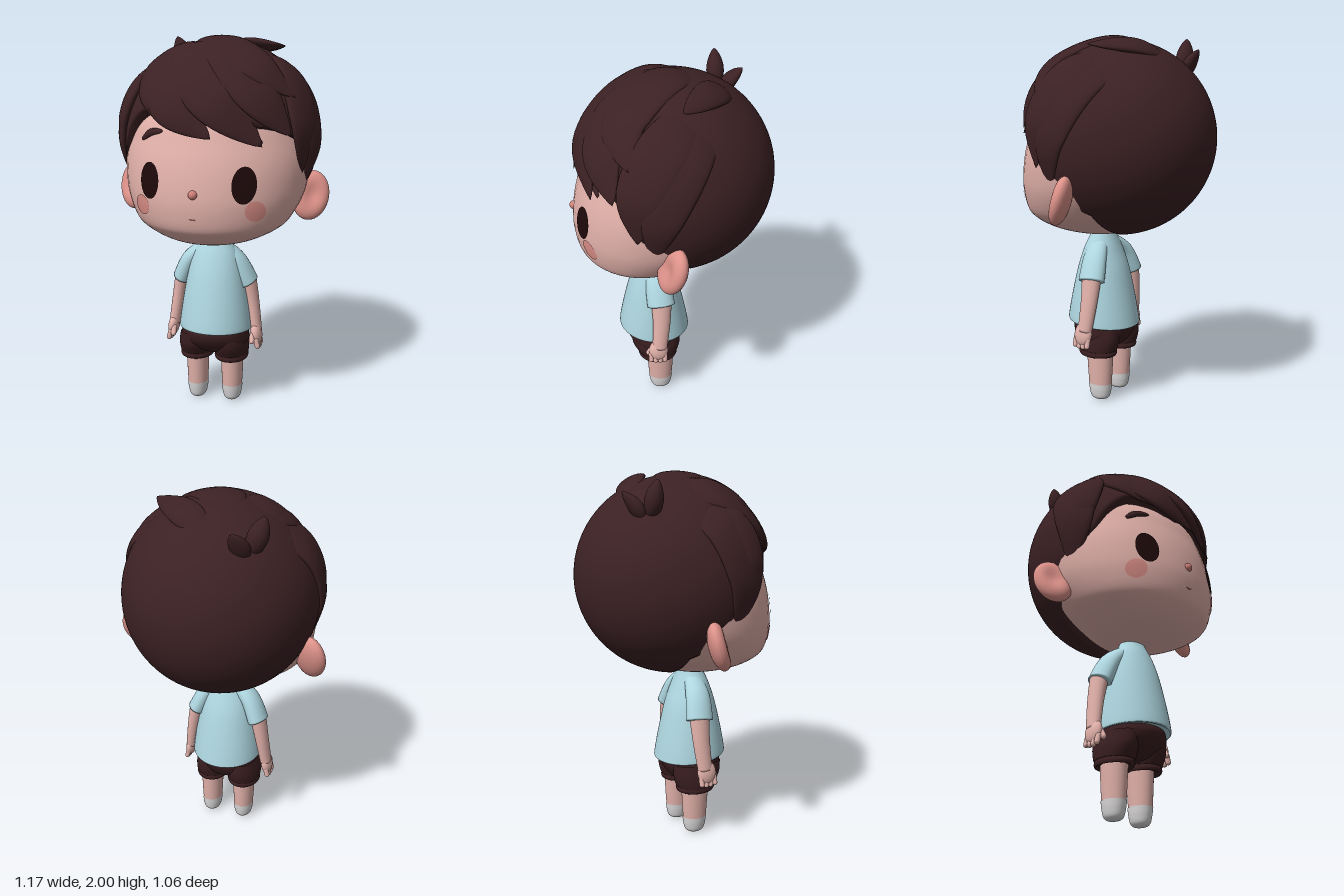
import * as THREE from 'three';
import { mergeVertices } from 'three/addons/utils/BufferGeometryUtils.js';
import { ParametricGeometry } from 'three/addons/geometries/ParametricGeometry.js';

const V = (x, y, z) => new THREE.Vector3(x, y, z);
const material = (name, color) => {
  const m = new THREE.MeshStandardMaterial({ color });
  m.name = name;
  return m;
};

// Smooth closed surface from a function of (around, along)
function surface(f, around, along) {
  const g = new ParametricGeometry(f, around, along);
  g.deleteAttribute('normal');
  g.deleteAttribute('uv');
  const merged = mergeVertices(g, 1e-5);
  merged.computeVertexNormals();
  return merged;
}

// Rows are [y, half width, front z, back z]; returns a smooth row lookup by 0..1
function rowSampler(rows) {
  const curve = new THREE.CubicInterpolant(rows.map((_, i) => i), rows.flat(), 4);
  return t => [...curve.evaluate(t * (rows.length - 1))];
}

function loft(rows, cx = 0, slant = 0, along = 48) {
  const row = rowSampler(rows);
  return surface((u, v, out) => {
    const [y, w, zf, zb] = row(v), a = u * Math.PI * 2;
    const z = (zf + zb) / 2 - Math.sin(a) * Math.max(0, zf - zb) / 2;
    out.set(cx + Math.cos(a) * Math.max(0, w), y + slant * (z - 0.1), z);
  }, 48, along);
}

// Tapered elliptical tube; w lies across the surface, t along the outward direction
function tube(points, w, t, profile, outward, along = 32) {
  const curve = new THREE.CatmullRomCurve3(points);
  return surface((u, v, out) => {
    const p = curve.getPoint(v), T = curve.getTangent(v), a = u * Math.PI * 2;
    const N = outward(p);
    N.addScaledVector(T, -N.dot(T)).normalize();
    const W = N.clone().cross(T), k = profile(v);
    out.copy(p).addScaledVector(W, Math.cos(a) * w * k).addScaledVector(N, Math.sin(a) * t * k);
  }, 24, along);
}

// Head sections
const headRows = [
  [0.947, 0, 0.12, 0.12], [0.953, 0.11, 0.24, 0.0], [0.97, 0.19, 0.33, -0.06], [1.0, 0.27, 0.41, -0.11],
  [1.05, 0.36, 0.47, -0.17], [1.1, 0.41, 0.5, -0.23], [1.2, 0.46, 0.514, -0.33], [1.3, 0.482, 0.507, -0.38],
  [1.4, 0.487, 0.488, -0.4], [1.5, 0.475, 0.457, -0.4], [1.6, 0.45, 0.42, -0.38], [1.7, 0.39, 0.35, -0.33],
  [1.8, 0.28, 0.25, -0.22], [1.85, 0, 0, 0],
];
const headRow = rowSampler(headRows);
function headZ(x, y) {
  let lo = 0, hi = 1;
  for (let i = 0; i < 30; i++) {
    const m = (lo + hi) / 2;
    if (headRow(m)[0] < y) lo = m; else hi = m;
  }
  const [, w, zf, zb] = headRow(lo), mid = (zf + zb) / 2;
  return mid + (zf - mid) * Math.sqrt(Math.max(0, 1 - (x / w) ** 2));
}

// Hair volume
const CY = 1.47, RX = 0.513, RY = 0.52, RB = 0.53, RF = 0.485;
const fromCentre = p => V(p.x, p.y - CY, p.z);
function onHair([x, y, z, lift = 0]) {
  const k = 1 / Math.hypot(x / RX, (y - CY) / RY, z / (z > 0 ? RF : RB));
  const d = V(x, y - CY, z).multiplyScalar(k);
  return d.multiplyScalar(1 + lift / d.length()).add(V(0, CY, 0));
}

// Hairline: polar angle from the back of the head for each direction around it (degrees)
const hairline = [
  [-90, 80], [-45, 81], [-29, 99], [-20, 106], [-8, 110], [6, 117], [22, 143], [45, 156],
  [90, 166], [120, 162], [138, 150], [150, 138], [168, 130], [182, 124], [200, 109], [209, 99], [225, 81], [270, 80],
];
function hairCap() {
  const edge = new THREE.LinearInterpolant(hairline.map(h => h[0]), hairline.map(h => h[1]), 1);
  return surface((u, v, out) => {
    const deg = -90 + u * 360, a = THREE.MathUtils.degToRad(deg);
    const end = THREE.MathUtils.degToRad(edge.evaluate(deg)[0]);
    const th = end * Math.min(1, v / 0.95), c = -Math.cos(th);
    const k = v > 0.99 ? 0.86 : 1; // last row folds inward as the rim
    out.set(RX * Math.sin(th) * Math.cos(a) * k, CY + RY * Math.sin(th) * Math.sin(a) * k, (c > 0 ? RF : RB) * c * k);
  }, 120, 40);
}

export function createModel() {
  const group = new THREE.Group();
  const hair = material('dark brown hair', 0x3c2124);
  const skin = material('skin', 0xe2b1aa);
  const pink = material('ear pink', 0xdd928a);
  const blush = material('blush', 0xdc8f88);
  const rose = material('nose rose', 0xd08078);
  const dark = material('eye dark', 0x1e090a);
  const blue = material('shirt blue', 0xaed6e0);
  const brown = material('shorts brown', 0x3a1e20);
  const white = material('shoe white', 0xdcdadb);
  hair.side = THREE.DoubleSide;
  const add = (name, geometry, mat) => {
    const m = new THREE.Mesh(geometry, mat);
    m.name = name;
    group.add(m);
    return m;
  };
  const leaf = s => Math.max(0, Math.sin(Math.PI * s)) ** 0.8;
  const bud = s => Math.max(0, Math.sin(Math.PI * (0.14 + 0.86 * s))) ** 0.7;
  const facing = () => V(0, 0, 1);

  // Head and face
  add('head', loft(headRows, 0, 0, 72), skin);
  const patch = (name, cx, cy, rx, ry, lift, mat) => {
    const g = new THREE.RingGeometry(0, 1, 36, 6), p = g.attributes.position;
    for (let i = 0; i < p.count; i++) {
      const x = cx + p.getX(i) * rx, y = cy + p.getY(i) * ry;
      p.setXYZ(i, x, y, headZ(x, y) + lift);
    }
    g.computeVertexNormals();
    add(name, g, mat);
  };
  const face = (x, y, lift = 0.004) => V(x, y, headZ(x, y) + lift);
  for (const s of [-1, 1]) {
    patch('eye', s * 0.24, 1.316, 0.056, 0.09, 0.006, dark);
    patch('cheek', s * 0.29, 1.185, 0.045, 0.052, 0.005, blush);
    add('eyebrow', tube([face(s * 0.305, 1.507), face(s * 0.25, 1.545), face(s * 0.18, 1.557)], 0.018, 0.012,
      q => Math.max(0, Math.sin(Math.PI * (0.06 + 0.94 * q))) ** 0.5, fromCentre), hair);
  }
  const nose = add('nose', new THREE.SphereGeometry(0.023, 20, 14), rose);
  nose.position.set(0, 1.268, 0.508);
  add('mouth', tube([face(-0.018, 1.147, 0), face(0, 1.143, 0), face(0.018, 1.147, 0)], 0.003, 0.004,
    q => Math.sqrt(Math.max(0, 1 - (2 * q - 1) ** 2)), facing), rose);

  // Ears, dished on the front side
  for (const s of [-1, 1]) {
    const g = new THREE.SphereGeometry(1, 32, 24), p = g.attributes.position;
    for (let i = 0; i < p.count; i++) {
      const r2 = p.getX(i) ** 2 + p.getY(i) ** 2;
      if (p.getZ(i) > 0) p.setZ(i, p.getZ(i) - 0.6 * Math.exp(-4 * r2));
    }
    g.scale(0.1, 0.132, 0.055);
    g.computeVertexNormals();
    const ear = add('ear', g, pink);
    ear.position.set(s * 0.49, 1.192, 0.01);
    ear.rotation.set(-0.3, s * 0.45, -s * 0.15);
  }

  // Hair cap, and long locks that all sweep out from one whorl at the crown
  add('hairCap', hairCap(), hair);
  const whorl = onHair([-0.08, 1.9, -0.32, -0.03]);
  const lock = (w, t, ...path) =>
    add('hairLock', tube([whorl, ...path.map(onHair)], w, t, leaf, fromCentre), hair);
  // Fringe
  lock(0.13, 0.035, [-0.2, 1.9, 0.1, -0.01], [-0.14, 1.7, 0.42], [0.08, 1.535, 0.47, 0.01]);
  lock(0.15, 0.035, [-0.08, 1.92, 0.15, -0.015], [0.08, 1.73, 0.42], [0.31, 1.495, 0.39, 0.01]);
  lock(0.15, 0.035, [0.08, 1.93, 0.15, -0.015], [0.28, 1.76, 0.34], [0.45, 1.54, 0.3, 0.02]);
  lock(0.14, 0.04, [0, 1.97, 0, -0.02], [0.25, 1.88, 0.23], [0.46, 1.73, 0.22, 0.03]);
  lock(0.08, 0.03, [-0.27, 1.87, 0.08, -0.01], [-0.28, 1.75, 0.3], [-0.17, 1.59, 0.44, 0.01]);
  // Sideburns
  lock(0.13, 0.035, [0.35, 1.85, 0, -0.01], [0.49, 1.6, 0.17], [0.48, 1.34, 0.18, 0.01]);
  lock(0.11, 0.03, [0.4, 1.8, -0.1, -0.01], [0.51, 1.5, 0.06], [0.46, 1.23, 0.1, 0.01]);
  lock(0.13, 0.035, [-0.4, 1.78, 0.05, -0.01], [-0.49, 1.52, 0.16], [-0.46, 1.24, 0.12, 0.01]);
  lock(0.09, 0.035, [-0.37, 1.82, 0.13, -0.01], [-0.45, 1.6, 0.2, 0.01], [-0.45, 1.38, 0.17]);
  // Loose tip and sprouts on top
  lock(0.08, 0.03, [0.1, 1.94, -0.2], [0.31, 1.92, -0.04, 0.07]);
  add('sprout', tube([V(-0.25, 1.81, -0.24), V(-0.285, 1.9, -0.24), V(-0.315, 1.99, -0.235)], 0.052, 0.045, bud, facing), hair);
  add('sprout', tube([V(-0.23, 1.79, -0.27), V(-0.215, 1.86, -0.31), V(-0.2, 1.93, -0.37)], 0.05, 0.035, bud, facing), hair);

  // Shirt
  add('shirt', loft([
    [0.47, 0, 0.1, 0.1], [0.452, 0.17, 0.265, -0.075], [0.447, 0.194, 0.29, -0.1], [0.47, 0.198, 0.293, -0.1],
    [0.6, 0.18, 0.268, -0.075], [0.75, 0.153, 0.232, -0.04], [0.86, 0.122, 0.195, 0], [0.93, 0.085, 0.165, 0.025], [0.98, 0.06, 0.15, 0.04],
  ], 0, 0.08), blue);

  for (const s of [-1, 1]) {
    // Sleeve and arm, hanging slightly closer on one side
    const ax = x => s * x - (s > 0 ? 0.028 : 0);
    add('sleeve', tube([V(s * 0.045, 0.905, 0.09), V(ax(0.14), 0.825, 0.075), V(ax(0.203), 0.695, 0.057)], 0.054, 0.076,
      q => (q > 0.99 ? 0 : 0.62 + 0.38 * Math.sin(q * Math.PI / 2)), facing), blue);
    add('arm', tube([V(ax(0.198), 0.73, 0.057), V(ax(0.222), 0.6, 0.057), V(ax(0.25), 0.42, 0.07)], 0.043, 0.057,
      q => (q > 0.99 ? 0 : 1 - 0.28 * q), facing), skin);
    // Hand with four fingers and a thumb
    const palm = add('palm', new THREE.SphereGeometry(1, 24, 16), skin);
    palm.scale.set(0.03, 0.065, 0.054);
    palm.position.set(ax(0.252), 0.415, 0.077);
    palm.rotation.z = s * 0.15;
    for (let i = 0; i < 4; i++) {
      const f = add('finger', new THREE.CapsuleGeometry(0.0145, 0.035, 6, 12), skin);
      f.position.set(ax(0.263), 0.372 - (i === 1 || i === 2 ? 0.006 : 0), 0.041 + i * 0.026);
      f.rotation.z = s * 0.25;
    }
    const thumb = add('thumb', new THREE.CapsuleGeometry(0.015, 0.035, 6, 12), skin);
    thumb.position.set(ax(0.238), 0.4, 0.125);
    thumb.rotation.x = -0.5;

    // Shorts leg with rolled cuff, leg and shoe
    const cx = -0.014 + s * 0.098, dz = s * -0.006;
    add('shortsLeg', loft([
      [0.3, 0, 0.08, 0.08], [0.272, 0.075, 0.16, 0], [0.266, 0.088, 0.182, -0.025], [0.28, 0.093, 0.19, -0.033],
      [0.296, 0.09, 0.186, -0.029], [0.304, 0.094, 0.193, -0.036], [0.36, 0.094, 0.222, -0.05], [0.43, 0.08, 0.23, -0.05],
    ], cx), brown);
    add('leg', loft([[0.09, 0.055, 0.137 + dz, 0.003 + dz], [0.18, 0.059, 0.143 + dz, -0.003 + dz],
      [0.32, 0.064, 0.152 + dz, -0.01 + dz]], cx), skin);
    add('shoe', loft([
      [0.004, 0, 0.07 + dz, 0.07 + dz], [0.006, 0.028, 0.105 + dz, 0.035 + dz], [0.022, 0.045, 0.124 + dz, 0.014 + dz],
      [0.06, 0.054, 0.134 + dz, 0.004 + dz], [0.1, 0.058, 0.14 + dz, -0.001 + dz],
    ], cx), white);
  }

  // Shorts seat
  add('shortsSeat', loft([
    [0.3, 0, 0.09, 0.09], [0.315, 0.1, 0.17, -0.01], [0.37, 0.182, 0.235, -0.055], [0.43, 0.184, 0.264, -0.074], [0.48, 0.17, 0.25, -0.065],
  ], -0.005), brown);

  return group;
}
